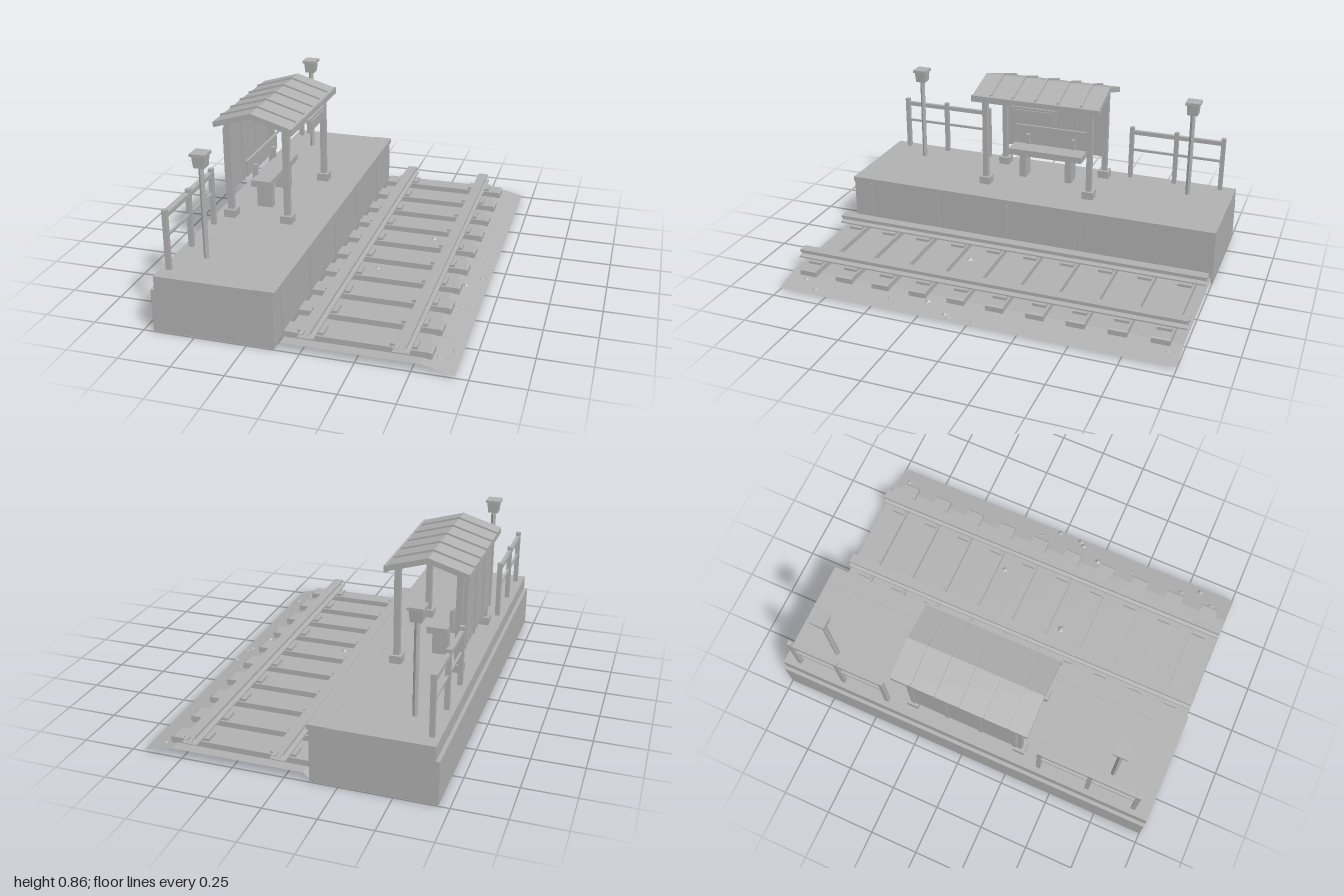
import * as THREE from 'three';

const stone = new THREE.MeshStandardMaterial({ color: 0xb2b2b2, side: THREE.DoubleSide, flatShading: true });
stone.name = 'plain grey';

function add(parent, name, geometry, x = 0, y = 0, z = 0) {
  const mesh = new THREE.Mesh(geometry, stone);
  mesh.name = name;
  mesh.position.set(x, y, z);
  parent.add(mesh);
  return mesh;
}

// Box given by its lower and upper limits on each axis
function block(parent, name, x0, x1, y0, y1, z0, z1) {
  return add(parent, name, new THREE.BoxGeometry(x1 - x0, y1 - y0, z1 - z0),
    (x0 + x1) / 2, (y0 + y1) / 2, (z0 + z1) / 2);
}

// Uncapped sheet: an x,y profile drawn out along z
function sheet(profile, z0, z1) {
  const p = [];
  for (let i = 0; i < profile.length - 1; i++) {
    const [ax, ay] = profile[i], [bx, by] = profile[i + 1];
    p.push(ax, ay, z0, ax, ay, z1, bx, by, z1, ax, ay, z0, bx, by, z1, bx, by, z0);
  }
  const g = new THREE.BufferGeometry();
  g.setAttribute('position', new THREE.Float32BufferAttribute(p, 3));
  g.computeVertexNormals();
  return g;
}

// Solid x,y outline drawn out along z, centred on z
function prism(outline, depth) {
  const shape = new THREE.Shape(outline.map(([x, y]) => new THREE.Vector2(x, y)));
  return new THREE.ExtrudeGeometry(shape, { depth, bevelEnabled: false }).translate(0, 0, -depth / 2);
}

function buildPlatform() {
  const g = new THREE.Group();
  g.name = 'platform';
  // Hollow body, open underneath
  block(g, 'backWall', -0.7, -0.692, 0, 0.21, -1, 1);
  block(g, 'trackWall', -0.126, -0.118, 0, 0.21, -1, 1);
  for (const s of [-1, 1]) block(g, 'endWall', -0.692, -0.126, 0, 0.21, s * 0.996 - 0.004, s * 0.996 + 0.004);
  block(g, 'ledge', -0.7, -0.118, 0.2, 0.21, -1, 1);
  block(g, 'deck', -0.682, -0.118, 0.21, 0.28, -1, 1);
  block(g, 'coping', -0.2, -0.108, 0.258, 0.282, -1, 1);
  // Wall joints
  for (let i = 0; i < 5; i++) {
    const z = 0.9 - i * 0.4;
    block(g, 'wallJoint', -0.12, -0.112, 0.03, 0.25, z - 0.005, z + 0.005);
  }
  return g;
}

function buildTrack() {
  const g = new THREE.Group();
  g.name = 'track';
  add(g, 'ballastBed', sheet([[-0.13, 0.004], [-0.09, 0.038], [0.545, 0.038], [0.69, 0.004]], -1, 1));

  // Sleepers with bearing plates
  for (let i = 0; i < 10; i++) {
    const z = -0.9 + i * 0.2;
    const sleeper = [[-0.1, 0.034], [0.58, 0.034], [0.58, 0.06], [0.572, 0.066], [-0.092, 0.066], [-0.1, 0.06]];
    add(g, 'sleeper', prism(sleeper, 0.09), 0, 0, z);
    for (const x of [0.03, 0.452]) block(g, 'bearingPlate', x - 0.06, x + 0.06, 0.066, 0.079, z - 0.035, z + 0.035);
  }

  // Rails with foot, web and head
  const half = [[0.038, 0.079], [0.038, 0.086], [0.012, 0.091], [0.012, 0.1], [0.026, 0.104], [0.026, 0.117]];
  const mirrored = half.map(([x, y]) => [-x, y]).reverse();
  const profile = [...half, ...mirrored, half[0]];
  for (const x of [0.028, 0.455]) add(g, 'rail', sheet(profile, -1, 1), x);

  // Loose stones: x, z, size
  const stones = [[0.61, -0.94, 0.012], [0.335, -0.215, 0.018], [0.615, -0.115, 0.011], [0.675, -0.025, 0.02],
    [0.67, 0.1, 0.02], [0.65, 0.125, 0.018], [0.59, 0.235, 0.02], [0.14, 0.205, 0.022], [0.615, 0.43, 0.011],
    [0.61, 0.725, 0.014], [0.655, 0.82, 0.02], [0.6, 0.9, 0.014], [0.08, 0.74, 0.006]];
  stones.forEach(([x, z, r], i) => {
    const y = x < 0.545 ? 0.038 : 0.038 - (x - 0.545) * 0.234;
    const rock = add(g, 'looseStone', new THREE.OctahedronGeometry(r), x, y, z);
    rock.scale.y = 0.6;
    rock.rotation.y = i * 1.3;
  });
  return g;
}

function buildShelter() {
  const g = new THREE.Group();
  g.name = 'shelter';
  for (const z of [-0.29, 0.29]) {
    for (const x of [-0.597, -0.3]) {
      block(g, 'postFoot', x - 0.03, x + 0.03, 0.28, 0.32, z - 0.03, z + 0.03);
      block(g, 'post', x - 0.015, x + 0.015, 0.32, 0.79, z - 0.0135, z + 0.0135);
    }
  }

  // Back panel and its battens
  block(g, 'backPanel', -0.625, -0.612, 0.39, 0.737, -0.28, 0.28);
  for (const z of [-0.27, -0.09, 0.09, 0.27]) block(g, 'batten', -0.63, -0.605, 0.39, 0.737, z - 0.009, z + 0.009);

  // Gabled roof, ribs, eaves
  const roof = [[-0.65, 0.76], [-0.455, 0.818], [-0.25, 0.755], [-0.25, 0.785], [-0.455, 0.846], [-0.65, 0.788]];
  add(g, 'roof', prism(roof, 0.69));
  const rib = [[-0.65, 0.787], [-0.455, 0.845], [-0.262, 0.787], [-0.262, 0.797], [-0.455, 0.856], [-0.65, 0.797]];
  for (let i = -2; i <= 2; i++) add(g, 'roofRib', prism(rib, 0.011), 0, 0, i * 0.123);
  block(g, 'eavesBoard', -0.265, -0.247, 0.754, 0.787, -0.35, 0.35);

  // Blank hanging board under the front eaves
  block(g, 'hangingBoard', -0.25, -0.236, 0.692, 0.76, -0.122, 0.122);
  block(g, 'boardFace', -0.236, -0.23, 0.704, 0.748, -0.105, 0.105);
  return g;
}

function buildBench() {
  const g = new THREE.Group();
  g.name = 'bench';
  block(g, 'seat', -0.522, -0.42, 0.41, 0.444, -0.207, 0.207);
  block(g, 'backrest', -0.548, -0.535, 0.463, 0.545, -0.207, 0.207);
  for (const z of [-0.13, 0.13]) {
    block(g, 'leg', -0.515, -0.435, 0.28, 0.41, z - 0.018, z + 0.018);
    block(g, 'backrestBracket', -0.54, -0.515, 0.41, 0.5, z - 0.01, z + 0.01);
  }
  return g;
}

function buildLamp(z) {
  const g = new THREE.Group();
  g.name = 'lamp';
  g.position.set(-0.527, 0, z);
  add(g, 'pole', new THREE.CylinderGeometry(0.013, 0.013, 0.46, 8), 0, 0.51, 0);
  // Tapered square lantern and lid
  const lantern = new THREE.CylinderGeometry(0.044, 0.037, 0.06, 4).rotateY(Math.PI / 4);
  add(g, 'lantern', lantern, 0, 0.76, 0);
  block(g, 'lid', -0.038, 0.038, 0.786, 0.8, -0.038, 0.038);
  return g;
}

function buildFence(side) {
  const g = new THREE.Group();
  g.name = 'fence';
  const ends = side > 0 ? [0.41, 0.915] : [-0.92, -0.425];
  for (const z of [ends[0], side * 0.67, ends[1]]) block(g, 'fencePost', -0.655, -0.632, 0.28, 0.573, z - 0.011, z + 0.011);
  block(g, 'topRail', -0.653, -0.634, 0.533, 0.555, ...ends);
  block(g, 'midRail', -0.649, -0.638, 0.437, 0.449, ...ends);
  return g;
}

export function createModel() {
  const model = new THREE.Group();
  model.name = 'railwayHalt';
  model.add(buildPlatform(), buildTrack(), buildShelter(), buildBench());
  model.add(buildLamp(0.763), buildLamp(-0.77), buildFence(1), buildFence(-1));
  return model;
}
